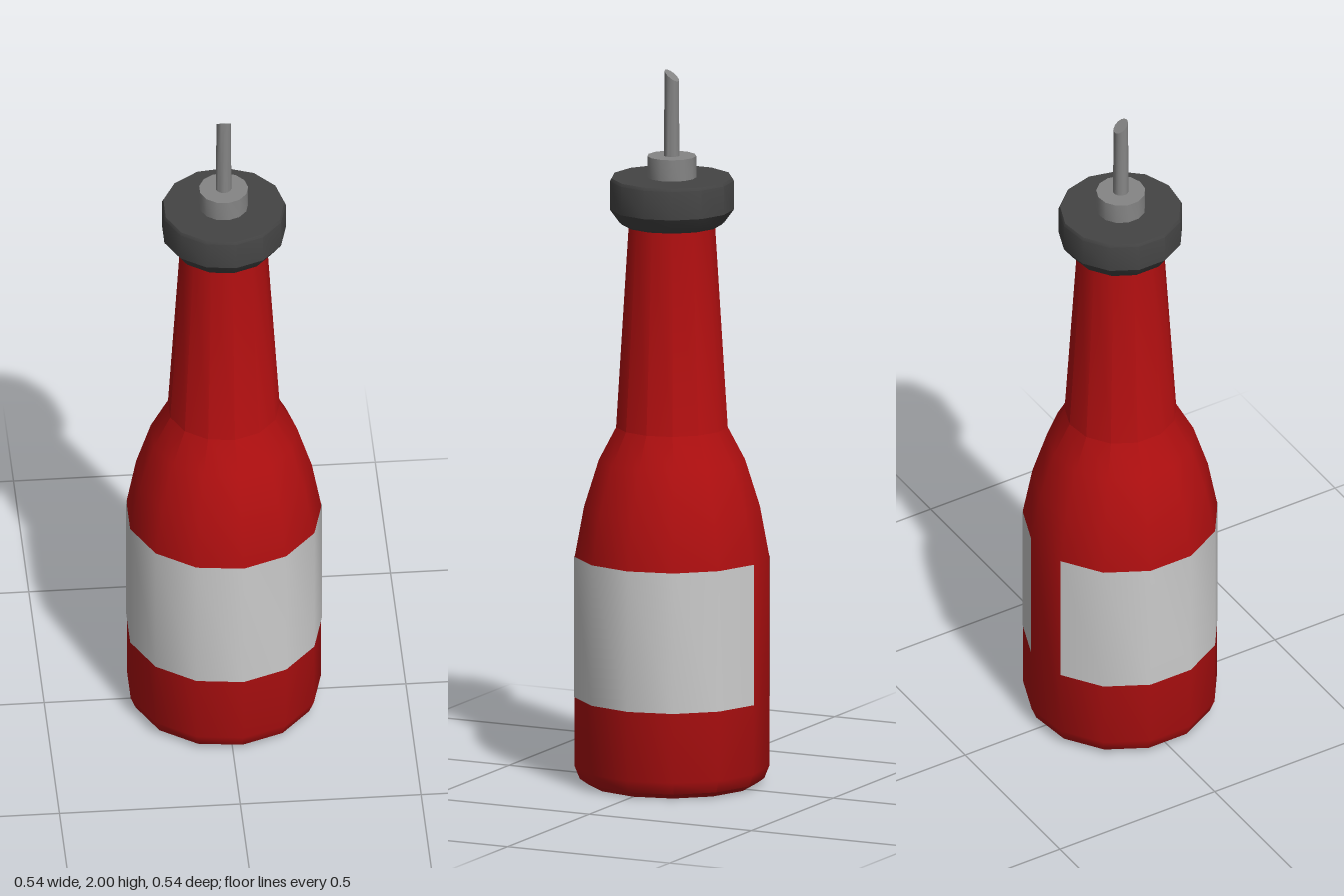
import * as THREE from 'three';
import { toCreasedNormals } from 'three/addons/utils/BufferGeometryUtils.js';

const SIDES = 13;
const STEP = (Math.PI * 2) / SIDES;

// Turned part with one corner pointing to +x; optionally only some of its sides
function turned(name, profile, color, first = 0, count = SIDES) {
  const points = profile.map(([r, y]) => new THREE.Vector2(r, y));
  const geometry = new THREE.LatheGeometry(points, count, Math.PI / 2 + first * STEP, count * STEP);
  const material = new THREE.MeshStandardMaterial({ color });
  const mesh = new THREE.Mesh(toCreasedNormals(geometry, 0.6), material);
  mesh.name = name;
  return mesh;
}

export function createModel() {
  const group = new THREE.Group();
  group.name = 'sauceBottle';

  // Glass: rounded foot, straight belly, curved shoulder, tapering neck
  const bottle = turned('bottle', [
    [0, 0], [0.235, 0], [0.256, 0.015], [0.27, 0.05], [0.27, 0.64],
    [0.244, 0.78], [0.203, 0.91], [0.155, 1.0], [0.119, 1.58],
  ], 0xb00f10);

  // Wrap-around label, leaving one side open at the back
  const label = turned('label', [[0.2715, 0.245], [0.2715, 0.64]], 0xcccccc, 4, SIDES - 1);
  label.material.side = THREE.DoubleSide;

  // Stopper with a bevelled underside
  const stopper = turned('stopper', [
    [0.1, 1.568], [0.137, 1.568], [0.145, 1.575], [0.172, 1.612],
    [0.172, 1.692], [0.168, 1.7], [0, 1.7],
  ], 0x444444);

  // Collar at the foot of the spout
  const collar = turned('spoutCollar', [[0.068, 1.69], [0.068, 1.76], [0, 1.76]], 0x858585);

  // Thin spout, its top cut at a slant that falls towards the back
  const spoutGeometry = new THREE.CylinderGeometry(0.02, 0.022, 0.25, SIDES);
  spoutGeometry.translate(0, 1.86, 0);
  const p = spoutGeometry.attributes.position;
  for (let i = 0; i < p.count; i++) {
    if (p.getY(i) > 1.9) p.setY(i, 1.985 + p.getZ(i) * 0.75);
  }
  const spout = new THREE.Mesh(
    toCreasedNormals(spoutGeometry, 0.6),
    new THREE.MeshStandardMaterial({ color: 0x858585 }),
  );
  spout.name = 'spout';

  group.add(bottle, label, stopper, collar, spout);
  // Odd number of sides: shift so the outline is centred
  group.position.x = -0.004;
  return group;
}
